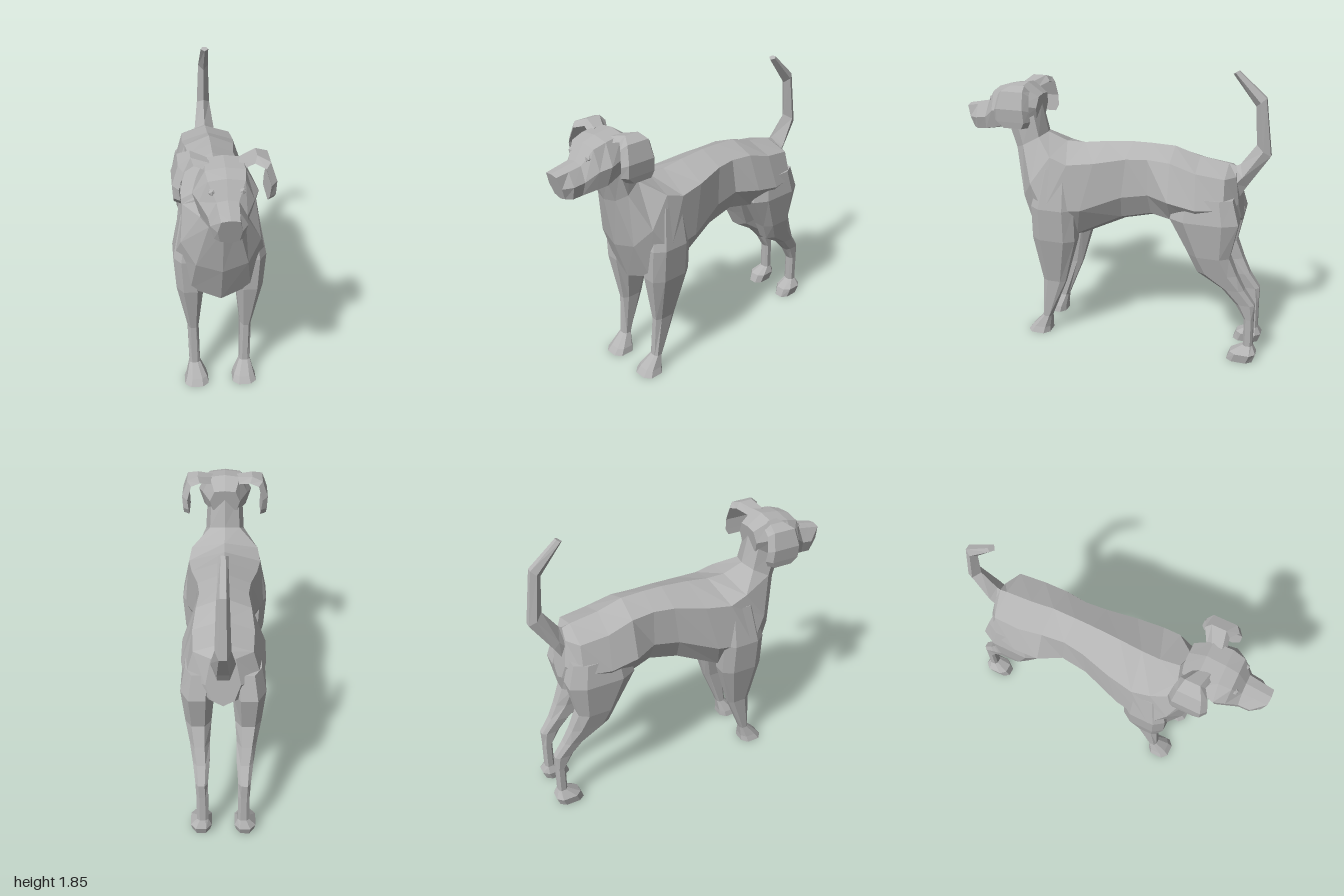
import * as THREE from 'three';

const coat = new THREE.MeshStandardMaterial({ color: 0xb4b4b4, flatShading: true });
coat.name = 'grey coat';

// Closed flat-shaded skin over a list of rings, turned outward by its signed volume
function loft(name, rings) {
  const tris = [], n = rings[0].length;
  const cap = (r, flip) => {
    const c = r.reduce((s, p) => s.clone().add(p)).clone().divideScalar(n);
    r.forEach((p, j) => {
      const q = r[(j + 1) % n];
      tris.push(flip ? [c, q, p] : [c, p, q]);
    });
  };
  for (let i = 0; i + 1 < rings.length; i++) {
    const a = rings[i], b = rings[i + 1];
    for (let j = 0; j < n; j++) {
      const k = (j + 1) % n;
      tris.push([a[j], a[k], b[k]], [a[j], b[k], b[j]]);
    }
  }
  cap(rings[0], true);
  cap(rings[rings.length - 1], false);
  const volume = tris.reduce((s, [a, b, c]) => s + a.dot(b.clone().cross(c)), 0);
  const points = tris.flatMap(([a, b, c]) => (volume < 0 ? [a, c, b] : [a, b, c]));
  const geometry = new THREE.BufferGeometry().setFromPoints(points);
  geometry.computeVertexNormals();
  const mesh = new THREE.Mesh(geometry, coat);
  mesh.name = name;
  return mesh;
}

const point = (x, y, z) => new THREE.Vector3(x, y, z);
const mirror = (rings, s) => rings.map(r => r.map(p => point(p.x * s, p.y, p.z)));

// Eight-sided section hung between a top and a bottom centre point:
// upper, wide and lower corners sit at fixed fractions of the way down
function hungRing([yTop, zTop, yBottom, zBottom, width, upperWidth], [upper, wide, lower], lowerRatio) {
  const at = (x, t) => point(x, THREE.MathUtils.lerp(yTop, yBottom, t), THREE.MathUtils.lerp(zTop, zBottom, t));
  const corners = [[upperWidth, upper], [width, wide], [width * lowerRatio, lower]];
  return [at(0, 0), ...corners.map(([x, t]) => at(x, t)),
    at(0, 1), ...corners.reverse().map(([x, t]) => at(-x, t))];
}

// Horizontal chamfered leg section
function legRing([y, x0, x1, zb, zf]) {
  const cx = (x1 - x0) * 0.25, cz = (zf - zb) * 0.22;
  return [[x1, zb + cz], [x1, zf - cz], [x1 - cx, zf], [x0 + cx, zf],
    [x0, zf - cz], [x0, zb + cz], [x0 + cx, zb], [x1 - cx, zb]].map(([x, z]) => point(x, y, z));
}

export function createModel() {
  const dog = new THREE.Group();
  dog.name = 'dog';

  // Neck, chest, waist and rump
  dog.add(loft('body', [
    [1.57, 0.49, 1.41, 0.71, 0.12, 0.09],
    [1.38, 0.45, 1.27, 0.66, 0.13, 0.1],
    [1.33, 0.32, 0.94, 0.6, 0.24, 0.22],
    [1.33, 0.2, 0.68, 0.51, 0.285, 0.235],
    [1.35, 0.05, 0.69, 0.22, 0.25, 0.21],
    [1.365, -0.13, 0.84, -0.08, 0.185, 0.165],
    [1.365, -0.25, 0.89, -0.28, 0.175, 0.15],
    [1.36, -0.4, 0.88, -0.42, 0.25, 0.165],
    [1.31, -0.56, 0.86, -0.6, 0.25, 0.18],
    [1.28, -0.74, 0.89, -0.76, 0.22, 0.17],
    [1.265, -0.79, 0.92, -0.85, 0.1, 0.07],
  ].map(row => hungRing(row, [0.14, 0.61, 0.9], 0.65))));

  // Skull tapering into a square muzzle
  dog.add(loft('head', [
    [1.63, 0.48, 1.47, 0.5, 0.1, 0.07],
    [1.7, 0.58, 1.44, 0.6, 0.15, 0.1],
    [1.685, 0.7, 1.4, 0.73, 0.18, 0.11],
    [1.66, 0.78, 1.385, 0.78, 0.15, 0.1],
    [1.565, 0.84, 1.37, 0.86, 0.105, 0.06],
    [1.55, 0.92, 1.365, 0.92, 0.1, 0.055],
    [1.535, 1.0, 1.37, 0.95, 0.065, 0.05],
  ].map(row => hungRing(row, [0.05, 0.48, 0.9], 0.8))));

  // Tail: inner y/z, outer y/z, half width
  dog.add(loft('tail', [
    [1.26, -0.77, 1.08, -0.82, 0.07],
    [1.28, -0.81, 1.15, -0.86, 0.07],
    [1.41, -0.9, 1.35, -0.99, 0.045],
    [1.645, -0.88, 1.7, -0.94, 0.035],
    [1.83, -0.735, 1.85, -0.77, 0.026],
  ].map(([yi, zi, yo, zo, w]) => {
    const y = (yi + yo) / 2, z = (zi + zo) / 2;
    return [point(0, yi, zi), point(w, y, z), point(w / 2, yo, zo), point(-w / 2, yo, zo), point(-w, y, z)];
  })));

  // Leg sections: y, inner x, outer x, back z, front z
  const frontLeg = [
    [1.2, 0.1, 0.235, 0.22, 0.43],
    [0.94, 0.1, 0.285, 0.2, 0.49],
    [0.72, 0.1, 0.27, 0.2, 0.49],
    [0.4, 0.135, 0.205, 0.285, 0.44],
    [0.12, 0.13, 0.2, 0.395, 0.455],
    [0.04, 0.09, 0.22, 0.405, 0.53],
    [0, 0.08, 0.235, 0.405, 0.56],
  ].map(legRing);
  const hindLeg = [
    [1.1, 0.05, 0.22, -0.8, -0.45],
    [0.95, 0.05, 0.248, -0.845, -0.42],
    [0.72, 0.07, 0.225, -0.8, -0.545],
    [0.6, 0.08, 0.2, -0.85, -0.6],
    [0.5, 0.08, 0.18, -0.9, -0.76],
    [0.4, 0.09, 0.165, -0.97, -0.85],
    [0.3, 0.09, 0.16, -0.97, -0.91],
    [0.11, 0.09, 0.16, -0.975, -0.915],
    [0.06, 0.07, 0.2, -1.0, -0.835],
    [0, 0.08, 0.19, -0.98, -0.815],
  ].map(legRing);

  // Folded ear: outer x/y, back z, front z; its thickness turns from downward to inward
  const ear = [
    [0.08, 1.685, 0.55, 0.67],
    [0.18, 1.71, 0.5, 0.65],
    [0.25, 1.685, 0.485, 0.69],
    [0.285, 1.58, 0.475, 0.71],
    [0.28, 1.5, 0.47, 0.71],
    [0.275, 1.46, 0.49, 0.67],
  ].map(([x, y, zb, zf], i) => {
    const turn = Math.max(0, 1 - i / 4) * Math.PI / 2;
    const xi = x - 0.038 * Math.cos(turn), yi = y - 0.038 * Math.sin(turn);
    return [point(x, y, zb + 0.03), point(x, y, zf - 0.03), point(xi, yi, zf), point(xi, yi, zb)];
  });

  for (const [side, s] of [['left', 1], ['right', -1]]) {
    dog.add(loft(side + 'FrontLeg', mirror(frontLeg, s)));
    dog.add(loft(side + 'HindLeg', mirror(hindLeg, s)));
    dog.add(loft(side + 'Ear', mirror(ear, s)));
    // Slight swelling of the eye
    const eye = new THREE.Mesh(new THREE.IcosahedronGeometry(0.022, 0), coat);
    eye.name = side + 'Eye';
    eye.position.set(0.08 * s, 1.595, 0.8);
    dog.add(eye);
  }
  return dog;
}
